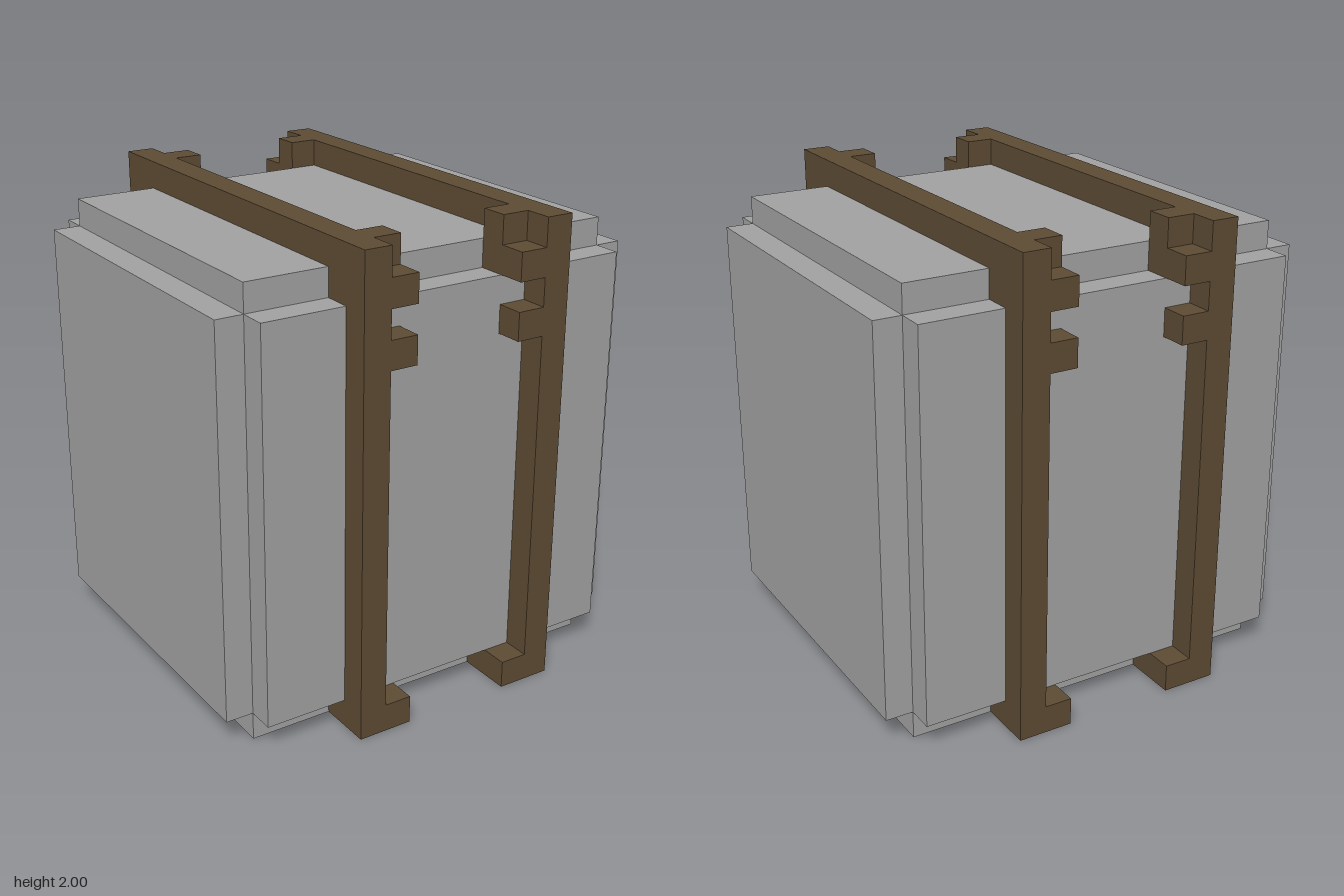
import * as THREE from 'three';

const U = 2 / 17; // one grid cell

export function createModel() {
  const stone = new THREE.MeshStandardMaterial({ color: 0xa0a0a0 });
  stone.name = 'stone grey';
  const strapBrown = new THREE.MeshStandardMaterial({ color: 0x5c4a33 });
  strapBrown.name = 'strap brown';

  // Box from min/max corners given in cells
  function box(name, mat, x0, x1, y0, y1, z0, z1) {
    const mesh = new THREE.Mesh(
      new THREE.BoxGeometry(Math.abs(x1 - x0) * U, (y1 - y0) * U, Math.abs(z1 - z0) * U), mat);
    mesh.position.set((x0 + x1) / 2 * U, (y0 + y1) / 2 * U, (z0 + z1) / 2 * U);
    mesh.name = name;
    return mesh;
  }

  const model = new THREE.Group();
  model.name = 'strappedBlock';

  // Block with stepped edges: three crossing slabs
  const block = new THREE.Group();
  block.name = 'block';
  block.add(
    box('sideSlab', stone, -8, 8, 1, 15, -6, 6),
    box('frontBackSlab', stone, -7, 7, 1, 15, -7, 7),
    box('topBottomSlab', stone, -7, 7, 0, 16, -6, 6));
  model.add(block);

  // Two mirrored straps, each alike at front and back
  for (const s of [1, -1]) {
    const strap = new THREE.Group();
    strap.name = s > 0 ? 'leftStrap' : 'rightStrap';
    strap.add(box('topBar', strapBrown, 3 * s, 4 * s, 16, 17, -7, 7));
    for (const d of [1, -1]) {
      strap.add(
        box('post', strapBrown, 3 * s, 4 * s, 0, 17, 7 * d, 8 * d),
        box('upperCorner', strapBrown, 3 * s, 4 * s, 15, 16, 6 * d, 7 * d),
        box('upperHook', strapBrown, 2 * s, 3 * s, 15, 17, 6 * d, 7 * d),
        box('upperTab', strapBrown, 2 * s, 3 * s, 15, 16, 7 * d, 8 * d),
        box('lowerTab', strapBrown, 2 * s, 3 * s, 13, 14, 7 * d, 8 * d),
        box('foot', strapBrown, 2 * s, 3 * s, 0, 1, 6 * d, 8 * d),
        box('footCorner', strapBrown, 3 * s, 4 * s, 0, 1, 6 * d, 7 * d));
    }
    model.add(strap);
  }
  return model;
}
